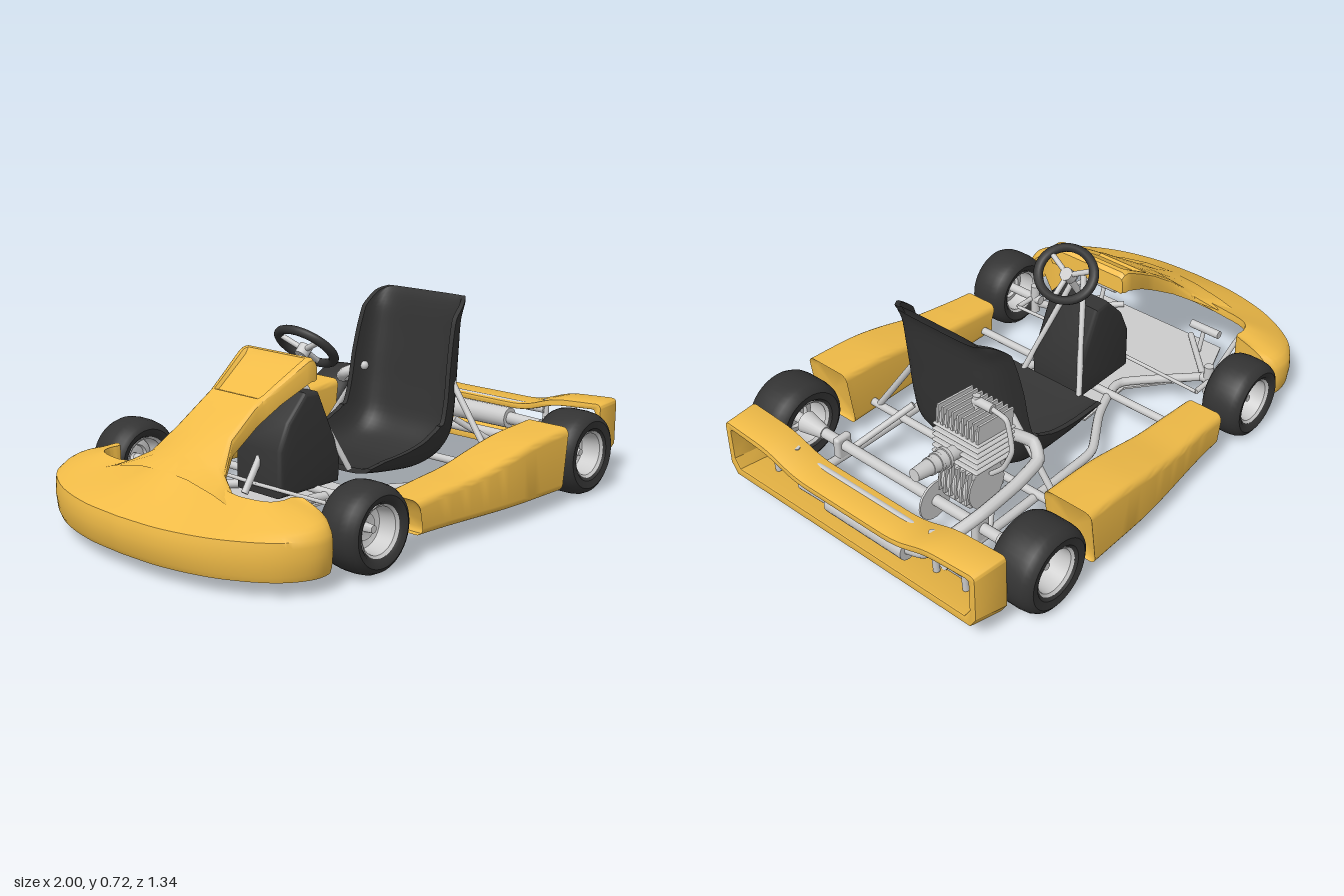
import * as THREE from 'three';
import { toCreasedNormals } from 'three/addons/utils/BufferGeometryUtils.js';
import { RoundedBoxGeometry } from 'three/addons/geometries/RoundedBoxGeometry.js';

const material = (color) => new THREE.MeshStandardMaterial({ color, side: THREE.DoubleSide });
const YELLOW = material(0xf0bb47), BLACK = material(0x333333), GREY = material(0xcccccc);
const V = (x, y, z) => new THREE.Vector3(x, y, z);
const lerp = THREE.MathUtils.lerp, smooth = THREE.MathUtils.smoothstep;

function part(parent, name, geometry, mat, x = 0, y = 0, z = 0) {
  const mesh = new THREE.Mesh(geometry, mat);
  mesh.name = name;
  mesh.position.set(x, y, z);
  parent.add(mesh);
  return mesh;
}

// Smooth skin through equal-length cross-sections
function loft(rings, crease = 0.7) {
  const n = rings[0].length, index = [];
  for (let i = 0; i < rings.length - 1; i++)
    for (let j = 0; j < n - 1; j++) {
      const a = i * n + j, b = a + n;
      index.push(a, b, a + 1, a + 1, b, b + 1);
    }
  const g = new THREE.BufferGeometry().setFromPoints(rings.flat());
  g.setIndex(index);
  return toCreasedNormals(g, crease);
}

// Bent pipe through points given as [x, y, z]
function pipe(parent, name, pts, r) {
  const curve = new THREE.CatmullRomCurve3(pts.map((p) => V(...p)), false, 'catmullrom', 0.25);
  return part(parent, name, new THREE.TubeGeometry(curve, pts.length * 7, r, 10), GREY);
}

function rod(parent, name, a, b, r1, r2 = r1) {
  const p = V(...a), d = V(...b).sub(p);
  const m = part(parent, name, new THREE.CylinderGeometry(r2, r1, d.length(), 20), GREY);
  m.position.copy(p).addScaledVector(d, 0.5);
  m.quaternion.setFromUnitVectors(V(0, 1, 0), d.normalize());
  return m;
}

function wheel(parent, name, x, z, r, w) {
  const g = new THREE.Group(), h = w / 2, lathe = (pts) =>
    toCreasedNormals(new THREE.LatheGeometry(pts.map((p) => new THREE.Vector2(...p)), 40).rotateX(Math.PI / 2), 0.7);
  part(g, 'tire', lathe([[0.088, -h + 0.02], [0.1, -h + 0.005], [r - 0.03, -h], [r - 0.014, -h + 0.01], [r - 0.004, -h + 0.03], [r, -h + 0.06],
    [r, h - 0.06], [r - 0.004, h - 0.03], [r - 0.014, h - 0.01], [r - 0.03, h], [0.1, h - 0.005], [0.088, h - 0.02]]), BLACK);
  part(g, 'rim', lathe([[0.08, -h + 0.02], [0.09, -h + 0.012], [0.082, -h + 0.03], [0.076, 0], [0.082, h - 0.03], [0.09, h - 0.012], [0.08, h - 0.02],
    [0.072, 0], [0.048, -0.008], [0.044, 0.006], [0.016, 0.006], [0.013, 0.04], [0, 0.04]]), GREY);
  g.name = name;
  g.position.set(x, r, z);
  parent.add(g);
}

// Wide nose: sections run between an outer and an inner plan curve
function noseWing() {
  const plan = (pts) => new THREE.CatmullRomCurve3(pts.map(([x, z]) => V(x, 0, z)));
  const outer = plan([[-1, 0], [-0.985, 0.2], [-0.925, 0.4], [-0.82, 0.56], [-0.72, 0.62], [-0.65, 0.615], [-0.62, 0.58]]);
  const inner = plan([[-0.72, 0], [-0.73, 0.1], [-0.745, 0.3], [-0.72, 0.41], [-0.68, 0.43], [-0.635, 0.43], [-0.62, 0.46]]);
  const rings = [];
  for (let i = -40; i <= 40; i++) {
    const t = Math.abs(i) / 40, o = outer.getPoint(t), n = inner.getPoint(t);
    const top = lerp(0.335, 0.26, smooth(t, 0, 0.35)), power = lerp(1, 0.45, smooth(t, 0.25, 0.8));
    const ring = [[0.07, 0.055], [0.03, 0.075], [0, 0.13], [0.01, 0.165]];
    for (let k = 0; k <= 10; k++) ring.push([0.03 + 0.096 * k, 0.185 + (top - 0.185) * (k / 10) ** power]);
    ring.push([1, top - 0.012], [1, lerp(top - 0.03, 0.055, smooth(t, 0.6, 0.85))]);
    rings.push(ring.map(([u, y]) => {
      const p = o.clone().lerp(n, u);
      return V(p.x, y, p.z * (i < 0 ? -1 : 1));
    }));
  }
  // Close both tips
  const cap = (ring) => ring.map(() => V(-0.625, 0.15, Math.sign(ring[0].z) * 0.52));
  return loft([cap(rings[0]), ...rings, cap(rings[80])]);
}

// Rising panel ahead of the steering wheel: x, top, half width, side drop, arch, recess
function nosePanel() {
  const rows = [[-0.8, 0.293, 0.3, 0.05, 1], [-0.74, 0.327, 0.27, 0.075, 1], [-0.7, 0.35, 0.19, 0.075, 0.7], [-0.62, 0.4, 0.14, 0.07, 0.2],
    [-0.5, 0.473, 0.13, 0.07, 0], [-0.47, 0.49, 0.132, 0.07, 0], [-0.455, 0.5, 0.135, 0.07, 0, 0.2], [-0.4, 0.535, 0.146, 0.07, 0, 0.2],
    [-0.3, 0.598, 0.17, 0.08, 0, 0.2], [-0.285, 0.605, 0.171, 0.08, 0], [-0.265, 0.605, 0.17, 0.08, 0], [-0.25, 0.59, 0.167, 0.06, 0], [-0.245, 0.53, 0.16, 0.005, 0]];
  const half = [[1, 1], [1, 0.3], [0.97, 0.1], [0.9, 0], [0.84, 0], [0.78, -1], [0.4, -1], [0, -1]];
  return loft(rows.map(([x, y, w, drop, arch, recess = 0]) => {
    const side = half.map(([f, d]) => [f * w, y - drop * lerp(d < 0 ? recess : d, f * f, arch)]);
    return [...side.map(([z, yy]) => V(x, yy, z)), ...side.slice(0, -1).reverse().map(([z, yy]) => V(x, yy, -z))];
  }), 0.6);
}

// Rounded side pod: sections run along x, the outer side widens to the rear
function sidePod() {
  const topLine = new THREE.SplineCurve([[-0.26, 0.197], [-0.1, 0.212], [0.05, 0.227], [0.2, 0.257], [0.35, 0.282], [0.545, 0.294]].map((p) => new THREE.Vector2(...p)));
  const rings = [];
  for (let i = 0; i <= 24; i++) {
    const t = i / 24, top = topLine.getPoint(t), low = lerp(0.072, 0.058, t);
    const out = lerp(0.63, 0.668, smooth(top.x, -0.26, 0.3));
    // Ends are rounded by shrinking the outermost sections
    for (const inset of i % 24 ? [0] : i ? [0, 0.006, 0.02] : [0.02, 0.006, 0]) {
      const r = 0.028, cz = (0.47 + out) / 2, hw = (out - 0.47) / 2 - inset, cy = (top.y + low) / 2, hh = (top.y - low) / 2 - inset;
      const slide = [0.02, 0.006, 0].indexOf(inset) * 0.007 * (i ? 1 : -1);
      const ring = [];
      for (let k = 0; k < 24; k++) {
        const a = (Math.floor(k / 6) + (k % 6) / 5) * Math.PI / 2;
        const corner = Math.floor(k / 6), sz = corner === 0 || corner === 3 ? 1 : -1, sy = corner < 2 ? 1 : -1;
        const z = cz + sz * (hw - r) + r * Math.cos(a), y = cy + sy * (hh - r) + r * Math.sin(a);
        const f = (y - low) / (top.y - low);
        const lean = i ? lerp(-0.03, 0, f) * smooth(t, 0.8, 1) : lerp(0.045, 0, f);
        ring.push(V(top.x + lean + slide + (i ? -0.014 : 0.014), y, z));
      }
      rings.push([...ring, ring[0]]);
    }
  }
  const cap = (ring) => {
    const c = ring.slice(0, 24).reduce((s, p) => s.add(p), V(0, 0, 0)).divideScalar(24);
    return ring.map(() => c.clone());
  };
  return loft([cap(rings[0]), ...rings, cap(rings[rings.length - 1])], 0.8);
}

function rearBumper() {
  const trace = (path, w, low, top, dip) => {
    path.moveTo(-w + 0.025, low);
    path.lineTo(w - 0.025, low);
    path.lineTo(w, low + 0.04);
    path.lineTo(w, top - 0.015);
    path.quadraticCurveTo(w, top, w - 0.02, top);
    path.lineTo(0.44, top - 0.008);
    path.bezierCurveTo(0.32, top - 0.015, 0.3, dip, 0.17, dip);
    path.lineTo(-0.17, dip);
    path.bezierCurveTo(-0.3, dip, -0.32, top - 0.015, -0.44, top - 0.008);
    path.lineTo(-w + 0.02, top);
    path.quadraticCurveTo(-w, top, -w, top - 0.015);
    path.lineTo(-w, low + 0.04);
    path.closePath();
    return path;
  };
  const s = trace(new THREE.Shape(), 0.592, 0.06, 0.303, 0.242);
  s.holes.push(trace(new THREE.Path(), 0.574, 0.085, 0.286, 0.227));
  const g = new THREE.ExtrudeGeometry(s, { depth: 0.126, bevelThickness: 0.004, bevelSize: 0.004, bevelSegments: 2, curveSegments: 12 });
  g.rotateY(Math.PI / 2).translate(0.87, 0, 0);
  // Lower edge sweeps up and sides draw in towards the back
  const p = g.attributes.position;
  for (let i = 0; i < p.count; i++) {
    const back = smooth(p.getX(i), 0.86, 1);
    if (p.getY(i) < 0.14) p.setY(i, p.getY(i) + 0.028 * back);
    p.setZ(i, p.getZ(i) * (1 - 0.02 * back));
  }
  return toCreasedNormals(g, 0.5);
}

// Bucket seat: x, y, half width, side height along the seat's normal
function seatShell() {
  const rows = [[-0.06, 0.15, 0.24, 0.03], [0, 0.135, 0.25, 0.06], [0.12, 0.115, 0.255, 0.09], [0.28, 0.1, 0.255, 0.14], [0.4, 0.13, 0.255, 0.16], [0.465, 0.2, 0.255, 0.15],
    [0.49, 0.32, 0.252, 0.13], [0.505, 0.45, 0.247, 0.125], [0.518, 0.56, 0.24, 0.115], [0.526, 0.635, 0.234, 0.1], [0.536, 0.69, 0.222, 0.05], [0.546, 0.718, 0.19, 0.012]];
  const shell = (inset) => {
    const path = new THREE.CatmullRomCurve3(rows.map((r) => V(r[0], r[1], 0)));
    const size = new THREE.CatmullRomCurve3(rows.map((r) => V(r[2], r[3], 0)));
    return Array.from({ length: 45 }, (_, i) => {
      const c = path.getPoint(i / 44), t = path.getTangent(i / 44), w = size.getPoint(i / 44);
      return Array.from({ length: 25 }, (_, j) => {
        const f = j / 12 - 1, rise = w.y * Math.abs(f) ** 4 + inset * (1 - f ** 4);
        return V(c.x - t.y * rise, c.y + t.x * rise, (w.x - inset * f * f) * Math.sin(f * Math.PI / 2) * (0.85 + 0.15 * f * f));
      });
    });
  };
  const out = shell(0), inn = shell(0.02);
  return loft(out.map((r, i) => [...r, ...inn[i].reverse(), r[0]]), 0.9);
}

function engine(parent) {
  const e = new THREE.Group();
  e.name = 'engine';
  e.position.set(0.655, 0.22, -0.245);
  e.rotation.z = 0.11;
  parent.add(e);
  part(e, 'crankcase', new RoundedBoxGeometry(0.15, 0.16, 0.14, 3, 0.02), GREY, 0, 0.08, 0);
  rod(e, 'crankHousing', [0, 0.07, -0.07], [0, 0.07, 0.07], 0.085);
  for (let i = 0; i < 6; i++) part(e, 'caseRib', new THREE.BoxGeometry(0.18, 0.12, 0.008), GREY, 0, 0.09, -0.06 + i * 0.024);
  part(e, 'cylinder', new THREE.CylinderGeometry(0.065, 0.065, 0.16, 24), GREY, 0, 0.22, 0);
  for (let i = 0; i < 6; i++) part(e, 'coolingFin', new RoundedBoxGeometry(0.18, 0.009, 0.2, 2, 0.004), GREY, 0, 0.17 + i * 0.021, 0);
  part(e, 'head', new THREE.BoxGeometry(0.15, 0.04, 0.17), GREY, 0, 0.3, 0);
  for (let i = 0; i < 9; i++) part(e, 'headFin', new THREE.BoxGeometry(0.165, 0.075, 0.008), GREY, 0, 0.31, -0.088 + i * 0.022);
  rod(e, 'sparkPlug', [-0.005, 0.3, 0], [-0.005, 0.385, 0], 0.014);
  rod(e, 'plugCap', [-0.005, 0.365, 0.01], [-0.005, 0.365, -0.07], 0.016);
  pipe(e, 'plugLead', [[-0.005, 0.365, -0.06], [-0.005, 0.35, -0.13], [-0.005, 0.25, -0.16], [-0.005, 0.17, -0.13], [-0.005, 0.12, -0.08]], 0.009);
  // Intake and stacked air filter
  rod(e, 'intake', [0.06, 0.21, 0], [0.15, 0.21, 0], 0.025);
  rod(e, 'airFilter', [0.13, 0.21, 0], [0.27, 0.21, 0], 0.035, 0.022);
  for (let i = 0; i < 3; i++) rod(e, 'filterRib', [0.13 + i * 0.032, 0.21, 0], [0.142 + i * 0.032, 0.21, 0], 0.039 - i * 0.004);
  rod(e, 'starter', [0, 0.07, 0.07], [0, 0.07, 0.095], 0.05);
  rod(e, 'lever', [0.02, 0.08, 0.08], [0.04, 0.09, 0.14], 0.012);
  pipe(parent, 'exhaustPipe', [[0.58, 0.4, -0.27], [0.49, 0.39, -0.28], [0.445, 0.36, -0.34], [0.48, 0.33, -0.39], [0.6, 0.31, -0.4], [0.76, 0.29, -0.395], [0.87, 0.25, -0.36], [0.93, 0.19, -0.3], [0.93, 0.16, -0.22]], 0.022);
  rod(parent, 'muffler', [0.93, 0.16, -0.23], [0.93, 0.16, 0.13], 0.042);
  rod(parent, 'tailPipe', [0.93, 0.16, 0.12], [0.93, 0.155, 0.28], 0.025);
}

export function createModel() {
  const kart = new THREE.Group();
  kart.name = 'goKart';
  part(kart, 'noseWing', noseWing(), YELLOW);
  part(kart, 'nosePanel', nosePanel(), YELLOW);
  part(kart, 'rearBumper', rearBumper(), YELLOW);
  part(kart, 'seat', seatShell(), BLACK);

  // Fuel tank between the driver's legs
  const tank = new THREE.Shape([[-0.36, 0.13], [-0.09, 0.13], [-0.085, 0.22], [-0.19, 0.45], [-0.24, 0.455], [-0.32, 0.37], [-0.36, 0.28]].map((p) => new THREE.Vector2(...p)));
  part(kart, 'fuelTank', toCreasedNormals(new THREE.ExtrudeGeometry(tank, { depth: 0.19, bevelThickness: 0.018, bevelSize: 0.015, bevelSegments: 4 }), 0.6), BLACK, 0, 0, -0.095);

  // Floor pan
  const floor = [[-0.74, 0.3], [-0.54, 0.375], [-0.28, 0.17], [-0.03, 0.18]];
  const outline = [...floor, ...floor.map(([x, z]) => [x, -z]).reverse()].map((p) => new THREE.Vector2(...p));
  part(kart, 'floorPan', new THREE.ExtrudeGeometry(new THREE.Shape(outline), { depth: 0.008, bevelEnabled: false }).rotateX(Math.PI / 2), GREY, 0, 0.085, 0);

  // Steering wheel, facing up and back
  const steering = new THREE.Group();
  steering.name = 'steeringWheel';
  steering.position.set(-0.13, 0.602, 0);
  steering.rotation.z = -Math.PI / 4;
  kart.add(steering);
  const grip = part(steering, 'grip', new THREE.TorusGeometry(0.098, 0.016, 12, 40).rotateX(Math.PI / 2), BLACK);
  grip.scale.z = 1.2;
  rod(steering, 'hub', [0, -0.04, 0], [0, 0, 0], 0.025);
  for (const a of [0, 2.1, -2.1]) rod(steering, 'spoke', [0, -0.015, 0], [0.096 * Math.cos(a), 0, 0.112 * Math.sin(a)], 0.01);
  rod(kart, 'steeringColumn', [-0.14, 0.59, 0], [-0.44, 0.13, 0], 0.013);

  // Everything that is the same on both sides
  for (const s of [1, -1]) {
    const side = new THREE.Group();
    side.name = s > 0 ? 'nearSide' : 'farSide';
    side.scale.z = s;
    kart.add(side);
    part(side, 'sidePod', sidePod(), YELLOW);
    wheel(side, 'frontWheel', -0.457, 0.572, 0.15, 0.163);
    wheel(side, 'rearWheel', 0.703, 0.58, 0.158, 0.183);
    pipe(side, 'frameRail', [[0.88, 0.11, 0.33], [0.6, 0.1, 0.33], [0.15, 0.1, 0.33], [0.08, 0.1, 0.31], [-0.08, 0.1, 0.21], [-0.28, 0.1, 0.15], [-0.52, 0.1, 0.37]], 0.017);
    rod(side, 'frontBrace', [-0.52, 0.1, 0.37], [-0.72, 0.1, 0.17], 0.012);
    rod(side, 'noseStay', [-0.76, 0.14, 0.36], [-0.46, 0.13, 0.43], 0.01);
    rod(side, 'kingpin', [-0.46, 0.09, 0.43], [-0.46, 0.21, 0.43], 0.018);
    rod(side, 'frontStub', [-0.46, 0.15, 0.4], [-0.46, 0.15, 0.56], 0.018);
    rod(side, 'kingpinArm', [-0.52, 0.1, 0.37], [-0.46, 0.13, 0.43], 0.016);
    rod(side, 'steeringArm', [-0.46, 0.15, 0.44], [-0.365, 0.15, 0.44], 0.01);
    rod(side, 'tieRod', [-0.365, 0.15, 0.44], [-0.38, 0.15, 0], 0.007);
    rod(side, 'pedalStem', [-0.66, 0.09, 0.25], [-0.69, 0.18, 0.25], 0.009);
    rod(side, 'pedal', [-0.69, 0.18, 0.19], [-0.69, 0.18, 0.32], 0.016);
    rod(side, 'columnPost', [-0.215, 0.56, 0.015], [-0.05, 0.16, 0.135], 0.011);
    rod(side, 'seatStay', [0.425, 0.41, 0.225], [0.42, 0.11, 0.44], 0.012);
    part(side, 'seatStayBolt', new THREE.SphereGeometry(0.018, 14, 10), GREY, 0.425, 0.41, 0.22);
    rod(side, 'seatBrace', [0.47, 0.26, 0.2], [0.66, 0.11, 0.33], 0.012);
    part(side, 'axleBearing', new RoundedBoxGeometry(0.07, 0.1, 0.03, 3, 0.012), GREY, 0.703, 0.145, 0.33);
    rod(side, 'rearHub', [0.703, 0.158, 0.42], [0.703, 0.158, 0.52], 0.024, 0.042);
    for (const z of [0.32, 0.45]) rod(side, 'bumperPost', [0.9, 0.1, z], [0.91, 0.275, z], 0.012);
    rod(side, 'bumperStay', [0.9, 0.2, 0.32], [0.9, 0.15, 0.52], 0.01);
  }

  // Cross tubes and rear axle
  for (const [x, y, z] of [[-0.19, 0.11, 0.48], [0.42, 0.11, 0.48], [0.86, 0.11, 0.5], [0.9, 0.235, 0.32]])
    rod(kart, 'crossTube', [x, y, -z], [x, y, z], 0.015);
  rod(kart, 'rearAxle', [0.703, 0.158, -0.58], [0.703, 0.158, 0.58], 0.02);
  rod(kart, 'sprocket', [0.703, 0.158, -0.13], [0.703, 0.158, -0.122], 0.075);
  engine(kart);
  return kart;
}
